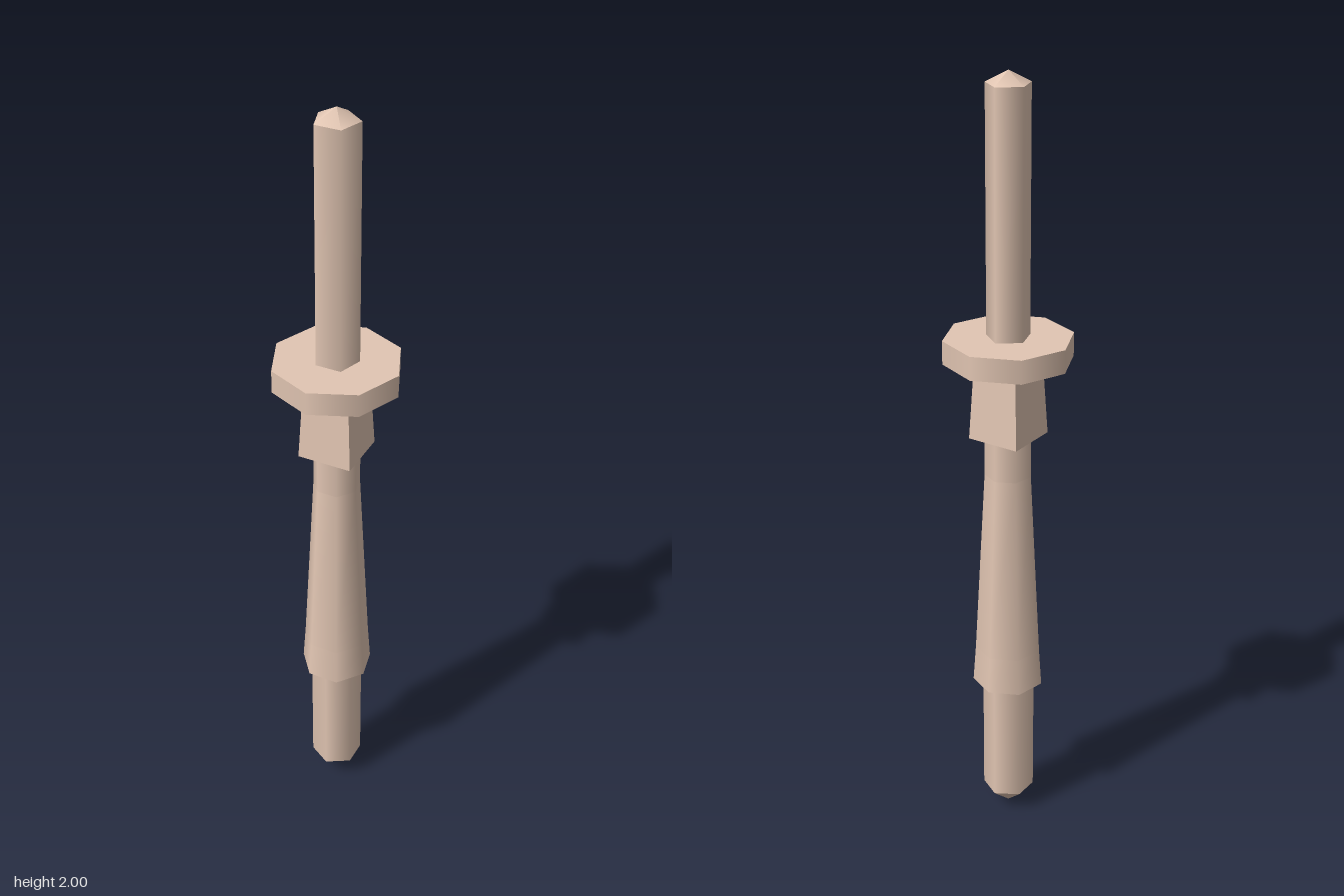
import * as THREE from 'three';

export function createModel() {
  const group = new THREE.Group();
  const material = new THREE.MeshStandardMaterial({ color: 0xe2c6b3 });
  const flat = material.clone();
  flat.flatShading = true;

  // One turned section between two heights, with a corner facing the back
  function section(name, sides, y0, y1, r0, r1, turn = Math.PI, mat = material) {
    const geometry = new THREE.CylinderGeometry(r1, r0, y1 - y0, sides);
    geometry.rotateY(turn);
    const mesh = new THREE.Mesh(geometry, mat);
    mesh.name = name;
    mesh.position.y = (y0 + y1) / 2;
    group.add(mesh);
  }

  // Pointed hexagonal foot
  section('footTip', 6, 0, 0.06, 0, 0.067);
  section('footShaft', 6, 0.06, 0.4, 0.067, 0.067);

  // Seven-sided handle, widest at the bottom with a slight waist near the top
  const handle = [[0.4, 0.093], [0.5, 0.086], [1.0, 0.06], [1.105, 0.06]];
  for (let i = 0; i < handle.length - 1; i++) {
    const [y0, r0] = handle[i];
    const [y1, r1] = handle[i + 1];
    section('handle' + (i + 1), 7, y0, y1, r0, r1);
  }

  // Square collar, narrowing upwards
  section('collar', 4, 1.105, 1.305, 0.07 * Math.SQRT2, 0.06 * Math.SQRT2, Math.PI / 4, flat);

  // Octagonal disc
  section('disc', 8, 1.305, 1.365, 0.162, 0.162);

  // Five-sided rod and its point
  section('rod', 5, 1.365, 1.97, 0.056, 0.056);
  section('rodTip', 5, 1.97, 2, 0.056, 0);

  return group;
}
